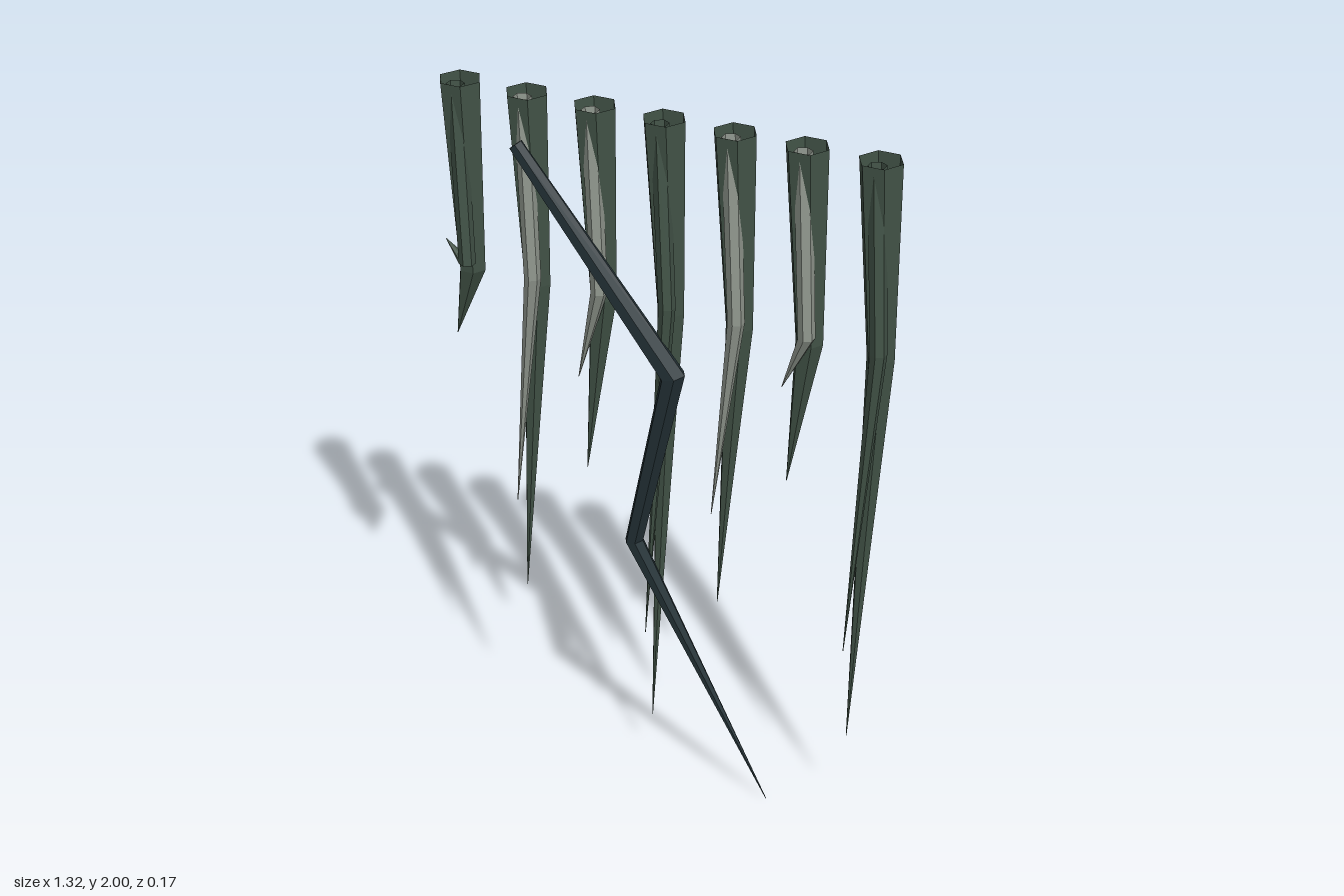
import * as THREE from 'three';

const SIDES = 6;

const mat = (name, color) => {
  const m = new THREE.MeshStandardMaterial({ color, flatShading: true, side: THREE.DoubleSide });
  m.name = name;
  return m;
};

// Open six-sided tapering tube through points [x, y, z, radius]; the last point is the tip.
// With mitre on, each ring is tilted square to the path; otherwise rings stay level.
function taper(points, { turn = 0, mitre = false } = {}) {
  const pos = [], index = [];
  const dir = (a, b) => new THREE.Vector2(b[0] - a[0], b[1] - a[1]).normalize();
  points.forEach(([x, y, z, r], i) => {
    const t = new THREE.Vector2(0, -1);
    if (mitre) {
      t.set(0, 0);
      if (i > 0) t.add(dir(points[i - 1], points[i]));
      if (i < points.length - 1) t.add(dir(points[i], points[i + 1]));
      t.normalize();
    }
    for (let k = 0; k < SIDES; k++) {
      const a = turn + (k / SIDES) * Math.PI * 2;
      const c = Math.cos(a) * r;
      pos.push(x - t.y * c, y + t.x * c, z + Math.sin(a) * r);
    }
  });
  for (let i = 0; i < points.length - 1; i++) {
    for (let k = 0; k < SIDES; k++) {
      const a = i * SIDES + k, b = i * SIDES + (k + 1) % SIDES;
      index.push(a, b, a + SIDES, b, b + SIDES, a + SIDES);
    }
  }
  const g = new THREE.BufferGeometry();
  g.setAttribute('position', new THREE.Float32BufferAttribute(pos, 3));
  g.setIndex(index);
  g.computeVertexNormals();
  return g;
}

export function createModel() {
  const model = new THREE.Group();
  model.name = 'hangingStrands';

  const moss = mat('moss green', 0x415246);
  const pale = mat('pale grey', 0x8e958c);
  const bark = mat('dark slate', 0x233136);

  const add = (name, geometry, material) => {
    const mesh = new THREE.Mesh(geometry, material);
    mesh.name = name;
    model.add(mesh);
  };

  // Row of seven strands, each with a thinner shoot growing out of its front
  const tips = [1.24, 0.47, 0.91, 0.14, 0.58, 1.02, 0.25];
  tips.forEach((tipY, i) => {
    const x = -0.6 + i * 0.2;
    add(`strand${i + 1}`, taper([
      [x, 2, -0.035, 0.06],
      [x + 0.02, 1.45, -0.035, 0.039],
      [x - 0.035, tipY, -0.035, 0.001],
    ]), moss);

    const isPale = i % 3 !== 0;
    add(`shoot${i + 1}`, taper([
      [x, 1.995, -0.01, 0.025],
      [x + 0.036, 1.49, 0.022, 0.023],
      [x - 0.04, tipY + 0.3, 0, 0.001],
    ], { turn: Math.PI / 6 }), isPale ? pale : moss);
  });

  // Crooked vine across the front
  add('crookedVine', taper([
    [-0.392, 1.883, 0.047, 0.021],
    [0.07, 1.31, 0.055, 0.036],
    [-0.06, 0.755, 0.028, 0.027],
    [0.35, 0, 0.02, 0.001],
  ], { mitre: true }), bark);

  return model;
}
